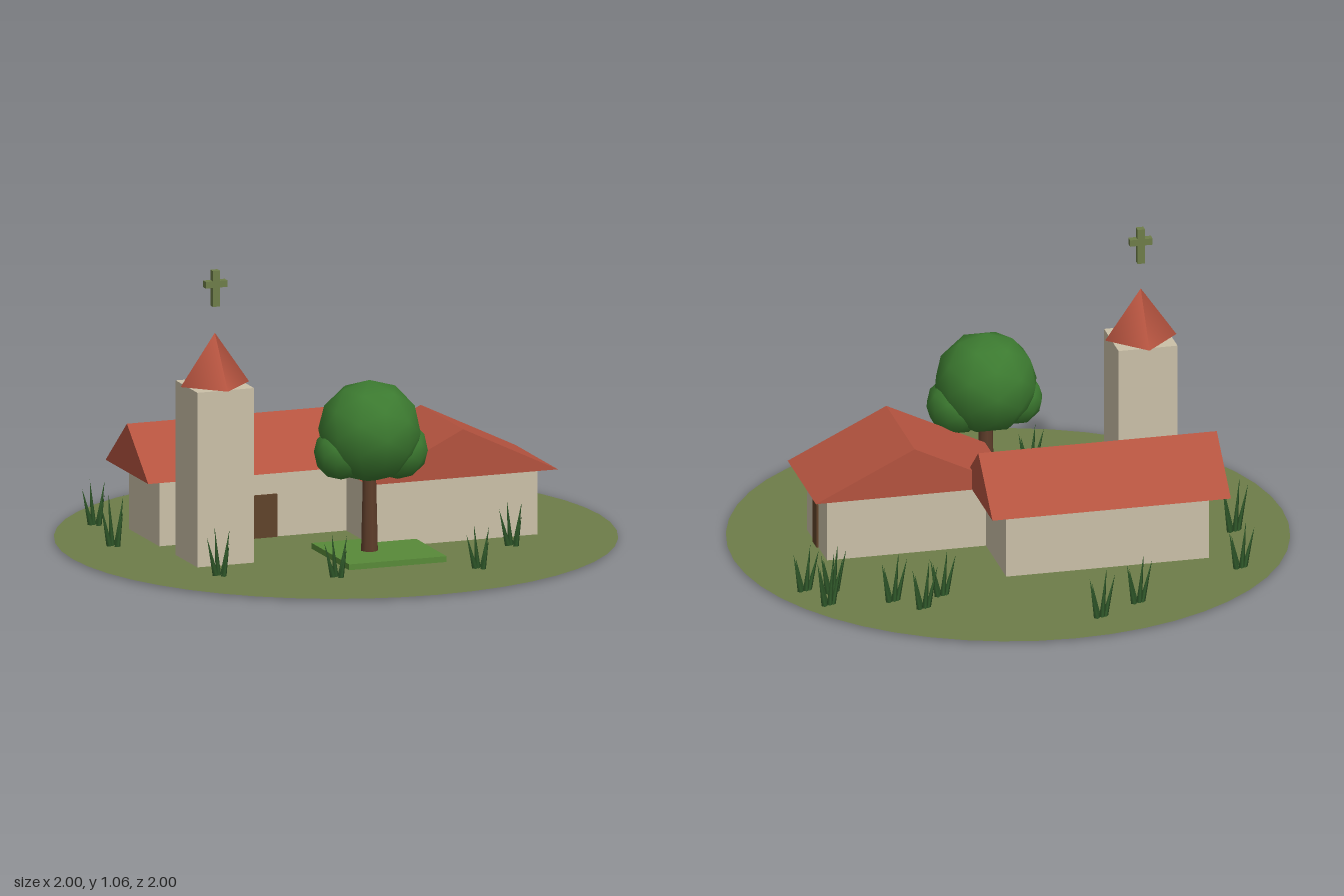
import * as THREE from 'three';

const mat = (name, color, side = THREE.FrontSide) => {
  const m = new THREE.MeshStandardMaterial({ color, side });
  m.name = name;
  return m;
};

export function createModel() {
  const root = new THREE.Group();
  root.name = 'villageChurch';

  const olive = mat('olive ground', 0x6e7d49, THREE.DoubleSide);
  const cream = mat('cream plaster', 0xcbc0a8);
  const red = mat('red roof tile', 0xb4533f);
  const brown = mat('door wood', 0x60432a);
  const bark = mat('bark', 0x5e3d2a);
  const leaf = mat('foliage green', 0x3c7a30);
  const lawn = mat('lawn green', 0x588a39);
  const blade = mat('grass green', 0x30592a);

  const add = (parent, name, geo, material, x, y, z) => {
    const m = new THREE.Mesh(geo, material);
    m.name = name;
    m.position.set(x, y, z);
    parent.add(m);
    return m;
  };
  // Box standing on height y
  const box = (parent, name, material, w, h, d, x, y, z) =>
    add(parent, name, new THREE.BoxGeometry(w, h, d), material, x, y + h / 2, z);

  // Ground disc
  add(root, 'ground', new THREE.CircleGeometry(1, 48).rotateX(-Math.PI / 2), olive, 0, 0.006, 0);

  // Gabled building: ridge runs along local z
  const EAVE = 0.25, RISE = 0.175;
  const building = (name, x, z, turn, wallW, wallL, roofW, roofL) => {
    const g = new THREE.Group();
    g.name = name;
    box(g, 'walls', cream, wallW, EAVE, wallL, 0, 0, 0);
    const gable = new THREE.Shape([
      new THREE.Vector2(-roofW / 2, 0),
      new THREE.Vector2(roofW / 2, 0),
      new THREE.Vector2(0, RISE),
    ]);
    const roof = new THREE.ExtrudeGeometry(gable, { depth: roofL, bevelEnabled: false });
    add(g, 'roof', roof, red, 0, EAVE, -roofL / 2);
    g.position.set(x, 0, z);
    g.rotation.y = turn;
    root.add(g);
  };
  building('nave', -0.27, -0.23, Math.PI / 2, 0.3, 0.74, 0.42, 0.87);
  building('sideHall', 0.375, 0.07, 0, 0.61, 0.3, 0.72, 0.42);

  // Doors
  box(root, 'naveDoor', brown, 0.154, 0.162, 0.009, -0.272, 0, -0.0765);
  box(root, 'hallDoor', brown, 0.009, 0.168, 0.062, 0.683, 0, 0.074);

  // Bell tower with a pyramid cap and a floating cross
  const tower = new THREE.Group();
  tower.name = 'tower';
  tower.position.set(-0.528, 0, 0.177);
  root.add(tower);
  box(tower, 'towerWalls', cream, 0.215, 0.64, 0.215, 0, 0, 0);
  add(tower, 'towerRoof', new THREE.ConeGeometry(0.13, 0.187, 4), red, 0, 0.7335, 0);
  box(tower, 'crossPost', olive, 0.027, 0.13, 0.027, 0, 0.925, 0.004);
  box(tower, 'crossArm', olive, 0.082, 0.024, 0.027, 0, 0.994, 0.004);

  // Tree on its square of lawn
  box(root, 'lawn', lawn, 0.37, 0.027, 0.37, 0.035, 0, 0.335);
  const tree = new THREE.Group();
  tree.name = 'tree';
  tree.position.set(0, 0, 0.33);
  root.add(tree);
  add(tree, 'trunk', new THREE.CylinderGeometry(0.023, 0.032, 0.36, 8), bark, 0, 0.2, 0);
  [
    ['crown', 0.185, 0, 0.46, 0],
    ['leftLobe', 0.108, 0.108, 0.385, 0],
    ['rightLobe', 0.098, -0.108, 0.39, 0.0],
  ].forEach(([name, r, x, y, z]) =>
    add(tree, name, new THREE.IcosahedronGeometry(r, 1), leaf, x, y, z));

  // Grass tufts: each blade is a thin spike from base (x, z) to tip (x, z, height)
  const blades = [
    [-0.012, 0.0, -0.055, 0.025, 0.15],
    [0.0, -0.005, -0.02, 0.01, 0.18],
    [0.02, -0.012, 0.05, -0.025, 0.16],
    [0.01, 0.02, 0.028, 0.03, 0.12],
  ];
  const up = new THREE.Vector3(0, 1, 0);
  const tuft = (x, z, s) => {
    const g = new THREE.Group();
    g.name = 'grassTuft';
    for (const [bx, bz, tx, tz, h] of blades) {
      const base = new THREE.Vector3(bx, 0, bz);
      const dir = new THREE.Vector3(tx, h, tz).sub(base);
      const len = dir.length();
      const geo = new THREE.ConeGeometry(0.011, len, 4).translate(0, len / 2, 0);
      const m = add(g, 'grassBlade', geo, blade, bx, 0, bz);
      m.quaternion.setFromUnitVectors(up, dir.normalize());
    }
    g.position.set(x, 0.003, z);
    g.scale.set(1, s, 1);
    root.add(g);
  };
  [
    [-0.14, -0.82, 1], [-0.3, -0.72, 1], [-0.73, -0.49, 0.95], [-0.79, -0.15, 1.1],
    [-0.61, 0.43, 1], [-0.23, 0.6, 0.9], [0.29, 0.65, 0.9], [0.53, 0.35, 0.95],
    [0.45, -0.59, 1], [0.36, -0.49, 0.95], [0.54, -0.5, 1], [0.77, -0.48, 1.1],
    [0.73, -0.37, 1], [0.82, -0.33, 0.95],
  ].forEach(([x, z, s]) => tuft(x, z, s));

  return root;
}
